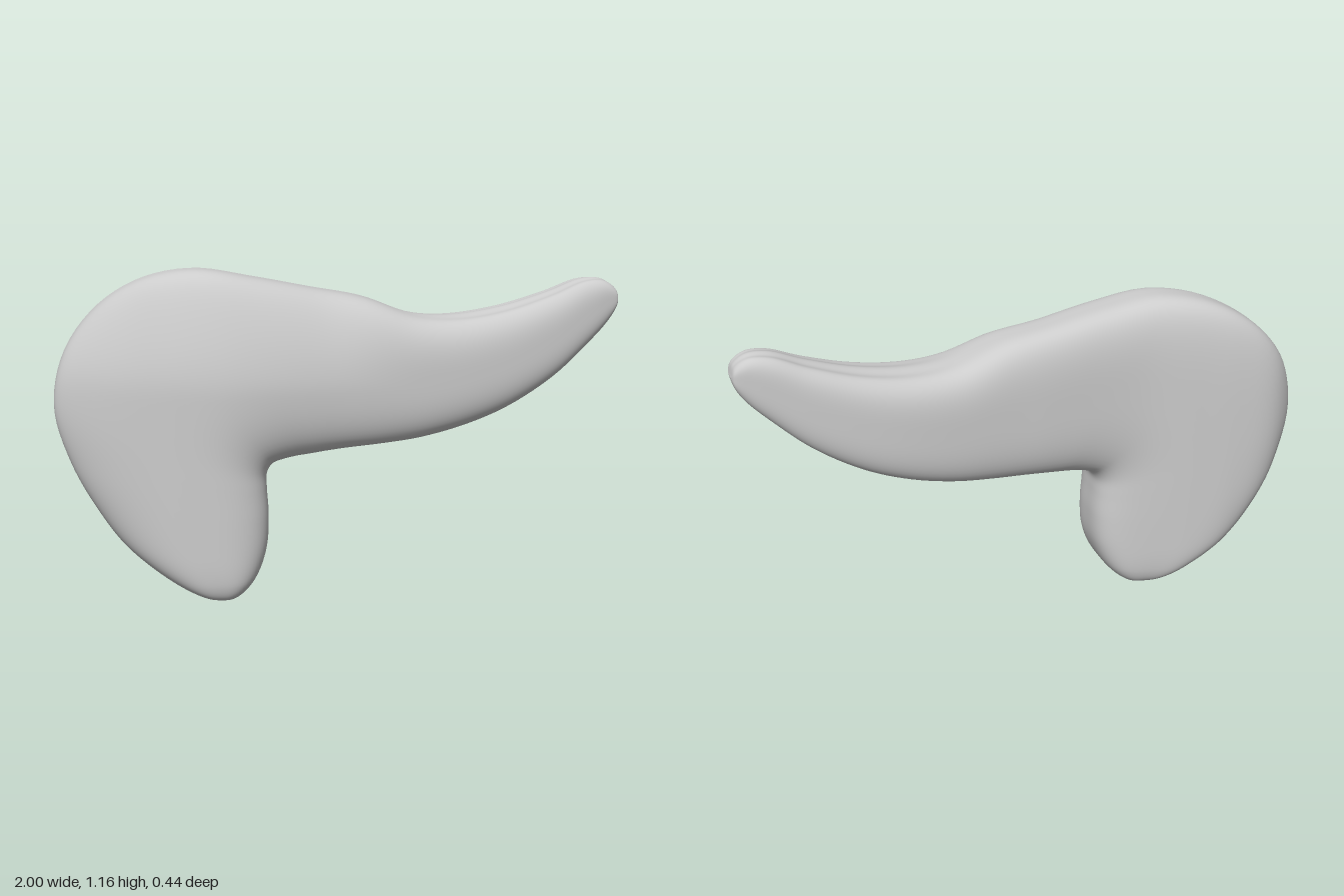
import * as THREE from 'three';
import { mergeVertices } from 'three/addons/utils/BufferGeometryUtils.js';

// Paired outline points from the foot, round the head, to the tail tip:
// outer x, outer y, inner x, inner y
const PAIRS = [
  [-0.45, 0.002, -0.45, 0.002],
  [-0.53, 0.02, -0.38, 0.02],
  [-0.63, 0.07, -0.32, 0.08],
  [-0.77, 0.18, -0.28, 0.18],
  [-0.87, 0.32, -0.27, 0.30],
  [-0.95, 0.48, -0.275, 0.40],
  [-1.0, 0.68, -0.275, 0.45],
  [-0.96, 0.87, -0.265, 0.475],
  [-0.84, 1.03, -0.25, 0.49],
  [-0.68, 1.13, -0.22, 0.50],
  [-0.5, 1.165, -0.17, 0.51],
  [-0.3, 1.135, -0.1, 0.517],
  [-0.1, 1.095, 0, 0.525],
  [0.08, 1.06, 0.12, 0.533],
  [0.25, 1.0, 0.28, 0.553],
  [0.4, 0.99, 0.45, 0.595],
  [0.58, 1.015, 0.6, 0.655],
  [0.75, 1.065, 0.76, 0.755],
  [0.87, 1.11, 0.88, 0.865],
  [0.94, 1.11, 0.96, 0.95],
  [0.985, 1.08, 0.99, 1.0],
  [1.0, 1.04, 1.0, 1.04],
];

// Depth of the front and back faces along x
const STOPS = [-1, -0.9, -0.75, -0.6, -0.4, 0, 0.5, 0.9, 1];
const FRONT = [0.0, 0.04, 0.1, 0.165, 0.215, 0.218, 0.2, 0.167, 0.15];
const BACK = [-0.19, -0.225, -0.21, -0.175, -0.125, -0.1, -0.075, 0.015, 0.05];

function along(values) {
  const f = new THREE.CubicInterpolant(new Float32Array(STOPS), new Float32Array(values), 1);
  return (x) => f.evaluate(THREE.MathUtils.clamp(x, -1, 0.9999))[0];
}

function outline(k) {
  return new THREE.CatmullRomCurve3(PAIRS.map((p) => new THREE.Vector3(p[k], p[k + 1], 0)));
}

// Rounds a thickness from 0 to 1 over the first part of its range
function roundEnd(d, n) {
  return d >= 1 ? 1 : Math.pow(1 - Math.pow(1 - d, n), 1 / n);
}

function bodyGeometry() {
  const { smoothstep } = THREE.MathUtils;
  const outer = outline(0), inner = outline(2);
  const front = along(FRONT), back = along(BACK);
  const rows = 160, ring = 96, last = PAIRS.length - 1;
  const position = [], index = [];

  for (let i = 0; i <= rows; i++) {
    const t = (1 - Math.cos((Math.PI * i) / rows)) / 2;
    const o = outer.getPoint(t), n = inner.getPoint(t);
    const end = roundEnd((t * last) / 3, 2.4) * roundEnd(((1 - t) * last) / 2, 3);

    for (let j = 0; j < ring; j++) {
      // Rounded-slab cross-section
      const a = (2 * Math.PI * j) / ring;
      const cos = Math.cos(a), sin = Math.sin(a);
      const e = sin > 0 ? 3.1 : 3.6;
      const r = Math.pow(Math.abs(cos) ** e + Math.abs(sin) ** e, -1 / e);
      let c = r * cos;
      const s = r * sin;

      // Long grooves on the upper and lower edges of the tail
      const mid = (o.x + n.x) / 2;
      if (c > 0) c *= 1 - 0.05 * smoothstep(mid, 0.15, 0.6) * Math.sin(Math.PI * 1.5 * s) ** 2 * (1 - s * s);
      else c *= 1 - 0.09 * smoothstep(mid, -0.3, 0.1) * (1 - smoothstep(mid, 0.7, 0.98)) * Math.exp(-((s / 0.4) ** 2));

      const x = n.x + ((o.x - n.x) * (c + 1)) / 2;
      const y = n.y + ((o.y - n.y) * (c + 1)) / 2;
      // The front of the head leans back towards its crown
      const lean = 0.07 * smoothstep(y, 0.75, 1.17) * (1 - smoothstep(x, -0.1, 0.3));
      const zf = front(x) - lean, zb = back(x);
      position.push(x, y, (zf + zb) / 2 + ((zf - zb) / 2) * s * end);
    }
  }

  for (let i = 0; i < rows; i++) {
    for (let j = 0; j < ring; j++) {
      const k = (j + 1) % ring;
      const a = i * ring + j, b = i * ring + k;
      const c = a + ring, d = b + ring;
      if (i > 0) index.push(a, b, c);
      if (i < rows - 1) index.push(b, d, c);
      else index.push(b, d, c);
    }
  }

  let geometry = new THREE.BufferGeometry();
  geometry.setAttribute('position', new THREE.Float32BufferAttribute(position, 3));
  geometry.setIndex(index);
  geometry = mergeVertices(geometry, 1e-5);
  geometry.computeVertexNormals();
  return geometry;
}

export function createModel() {
  const group = new THREE.Group();
  group.name = 'organ';
  const body = new THREE.Mesh(bodyGeometry(), new THREE.MeshStandardMaterial({ color: 0xcccccc }));
  body.name = 'organBody';
  group.add(body);
  return group;
}
